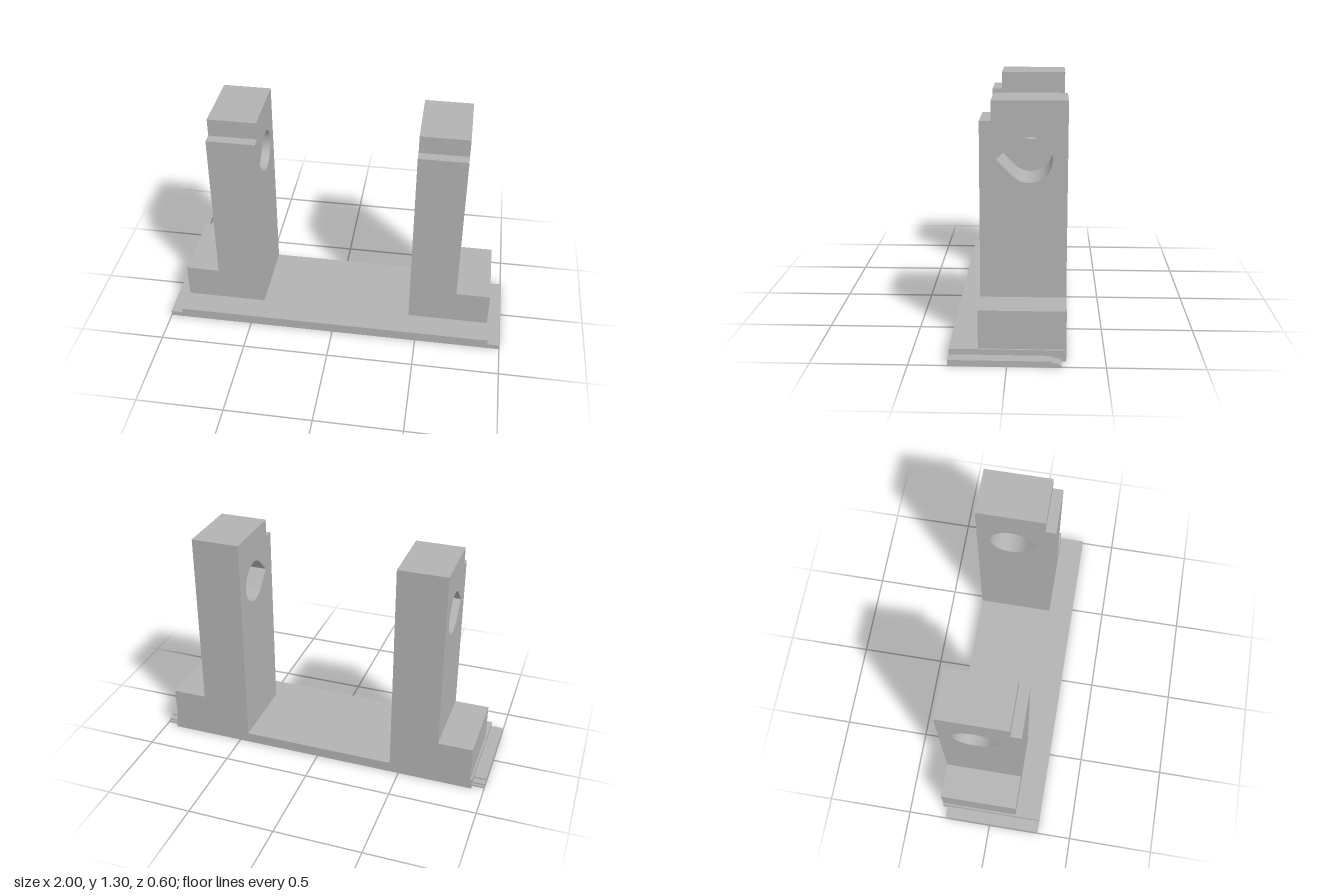
import * as THREE from 'three';
import { toCreasedNormals } from 'three/addons/utils/BufferGeometryUtils.js';

const grey = new THREE.MeshStandardMaterial({ color: 0xb2b2b2 });
grey.name = 'grey';

function part(name, geometry, parent) {
  const mesh = new THREE.Mesh(geometry, grey);
  mesh.name = name;
  parent.add(mesh);
}

// Box given by its limits on each axis
function block(x0, x1, y0, y1, z0, z1) {
  return new THREE.BoxGeometry(x1 - x0, y1 - y0, z1 - z0)
    .translate((x0 + x1) / 2, (y0 + y1) / 2, (z0 + z1) / 2);
}

// Side profile in (z, y), extruded along x from x0 to x1
function sideExtrude(points, x0, x1, hole) {
  const shape = new THREE.Shape(points.map(([z, y]) => new THREE.Vector2(z, y)));
  if (hole) shape.holes.push(hole);
  const geometry = new THREE.ExtrudeGeometry(shape, { depth: x1 - x0, bevelEnabled: false, curveSegments: 48 });
  geometry.rotateY(-Math.PI / 2).translate(x1, 0, 0);
  return toCreasedNormals(geometry, 0.5);
}

// Teardrop bore: a circle with 45 degree tangents meeting in a point at the front
function teardrop(z, y, r) {
  const path = new THREE.Path();
  path.moveTo(z + r * Math.SQRT2, y);
  path.lineTo(z + r * Math.SQRT1_2, y + r * Math.SQRT1_2);
  path.absarc(z, y, r, Math.PI / 4, Math.PI * 1.75, false);
  path.closePath();
  return path;
}

export function createModel() {
  const model = new THREE.Group();
  model.name = 'twinPostBracket';

  part('basePlate', block(-0.93, 0.93, 0, 0.06, -0.3, 0.3), model);

  const postProfile = [[-0.3, 0.06], [0.15, 0.06], [0.15, 1.198], [0.09, 1.198], [0.09, 1.302], [-0.3, 1.302]];
  // Thin edge rail, stepped down toward the back
  const railProfile = [[-0.275, 0], [0.3, 0], [0.3, 0.03], [-0.225, 0.03], [-0.225, 0.02],
    [-0.262, 0.02], [-0.262, 0.01], [-0.275, 0.01]];

  for (const [side, s] of [['left', 1], ['right', -1]]) {
    const span = (a, b) => (s > 0 ? [a, b] : [-b, -a]);
    part(side + 'Post', sideExtrude(postProfile, ...span(0.446, 0.722), teardrop(-0.104, 1, 0.119)), model);
    part(side + 'Foot', block(...span(0.722, 0.92), 0.06, 0.266, -0.3, 0.15), model);
    part(side + 'Rail', sideExtrude(railProfile, ...span(0.93, 1)), model);
  }
  return model;
}
